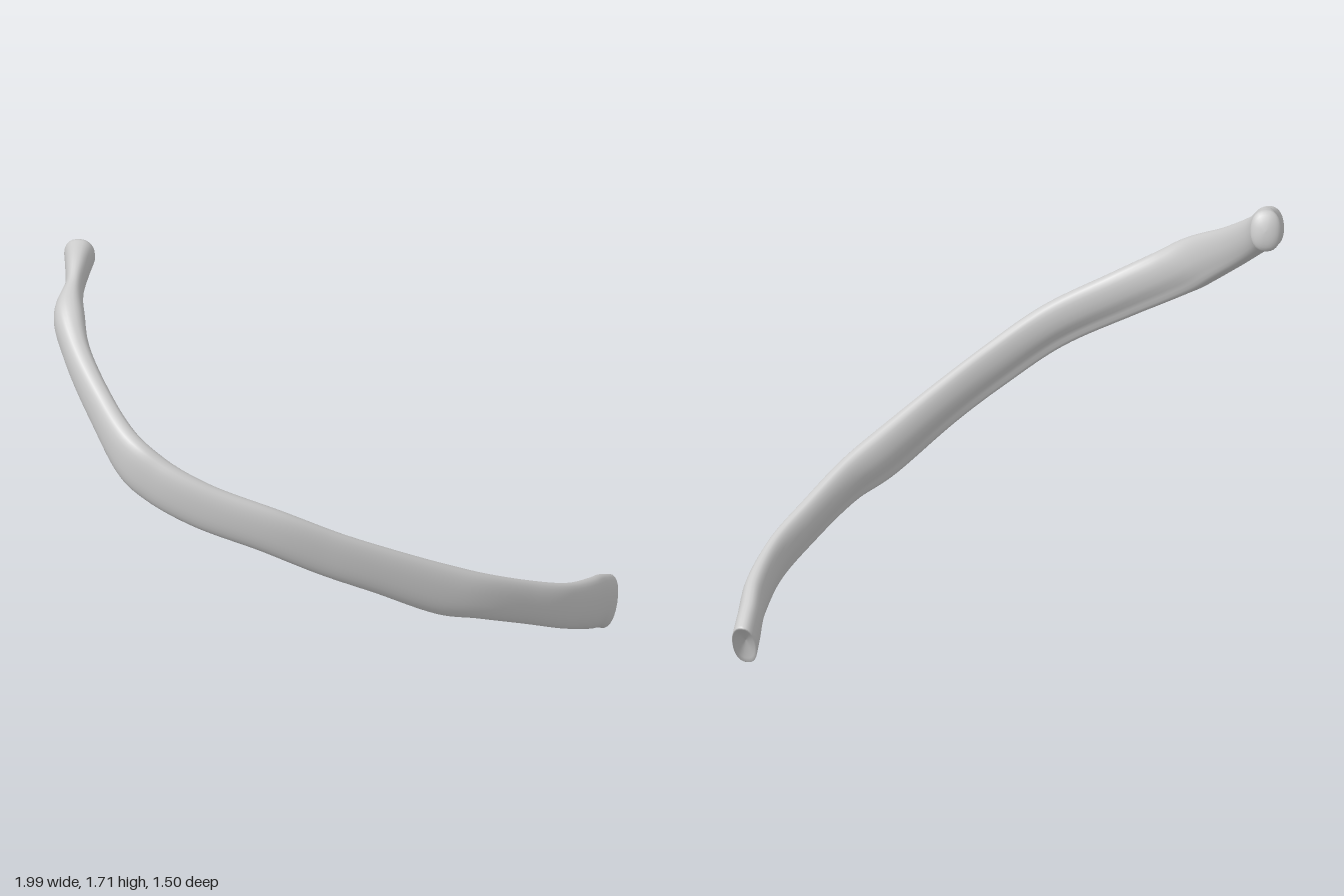
import * as THREE from 'three';

// Stations along the rib: centre x, y, z, half thickness, half height
const STATIONS = [
  [0.955, 0.105, 0.52, 0.046, 0.102],
  [0.89, 0.15, 0.56, 0.045, 0.1],
  [0.78, 0.215, 0.63, 0.043, 0.098],
  [0.6, 0.305, 0.695, 0.036, 0.088],
  [0.4, 0.405, 0.706, 0.038, 0.084],
  [0.2, 0.505, 0.699, 0.042, 0.088],
  [0.05, 0.575, 0.667, 0.046, 0.098],
  [-0.2, 0.725, 0.595, 0.04, 0.091],
  [-0.4, 0.845, 0.52, 0.037, 0.09],
  [-0.6, 0.975, 0.412, 0.04, 0.09],
  [-0.8, 1.09, 0.245, 0.042, 0.093],
  [-0.9, 1.175, 0.11, 0.047, 0.096],
  [-0.937, 1.245, 0.0, 0.05, 0.097],
  [-0.91, 1.36, -0.2, 0.046, 0.08],
  [-0.855, 1.485, -0.4, 0.049, 0.07],
  [-0.79, 1.56, -0.515, 0.058, 0.078],
  [-0.70, 1.6, -0.592, 0.035, 0.076],
  [-0.63, 1.636, -0.655, 0.045, 0.08],
  [-0.575, 1.655, -0.705, 0.058, 0.078],
];
const SIDES = 28, STEPS = 140;

function ribGeometry() {
  const path = new THREE.CatmullRomCurve3(STATIONS.map(s => new THREE.Vector3(s[0], s[1], s[2])));
  const sizes = new THREE.CatmullRomCurve3(STATIONS.map((s, i) => new THREE.Vector3(s[3], s[4], i)));

  // Rings: position along the path, scale, and shift along the tangent
  const rings = [];
  // front end: shallow cupped face with a crisp rim
  rings.push([0, 0.001, 0.025], [0, 0.4, 0.018], [0, 0.8, 0.003], [0, 0.94, -0.004]);
  for (let i = 0; i <= STEPS; i++) rings.push([i / STEPS, 1, 0]);
  // rear end: rounded head
  for (let i = 1; i <= 7; i++) {
    const a = (i / 7) * Math.PI / 2;
    rings.push([1, Math.max(Math.cos(a), 0.001), 0.032 * Math.sin(a)]);
  }

  const positions = [], indices = [];
  for (const [t, scale, shift] of rings) {
    const centre = path.getPoint(t), size = sizes.getPoint(t);
    const tangent = path.getTangent(t);
    // side points to the outer face of the bend, up stays near vertical
    const side = new THREE.Vector3(0, 1, 0).cross(tangent).normalize().negate();
    const up = tangent.clone().cross(side).normalize();
    if (up.y < 0) up.negate();
    side.copy(up).cross(tangent).normalize();
    centre.addScaledVector(tangent, shift);
    const groove = Math.sin(Math.PI * Math.min(1, t / 0.85)) ** 2;
    for (let j = 0; j < SIDES; j++) {
      const a = (j / SIDES) * Math.PI * 2, c = Math.cos(a), s = Math.sin(a);
      let u = Math.sign(c) * Math.abs(c) ** 0.85 * size.x;
      const v = Math.sign(s) * Math.abs(s) ** 0.9 * size.y;
      // shallow groove low on the inner face
      const inner = new THREE.Vector3(centre.x, 0, centre.z).dot(side) > 0 ? -1 : 1;
      if (c * inner > 0) u *= 1 - 0.4 * groove * Math.exp(-(((s + 0.55) / 0.3) ** 2));
      const p = centre.clone().addScaledVector(side, u * scale).addScaledVector(up, v * scale);
      positions.push(p.x, p.y, p.z);
    }
  }
  for (let i = 0; i < rings.length - 1; i++) {
    for (let j = 0; j < SIDES; j++) {
      const a = i * SIDES + j, b = i * SIDES + (j + 1) % SIDES;
      indices.push(a, b, a + SIDES, b, b + SIDES, a + SIDES);
    }
  }

  const geometry = new THREE.BufferGeometry();
  geometry.setAttribute('position', new THREE.Float32BufferAttribute(positions, 3));
  geometry.setIndex(indices);
  // keep the faces pointing outward
  let volume = 0;
  const p = k => new THREE.Vector3().fromArray(positions, indices[k] * 3);
  for (let k = 0; k < indices.length; k += 3) volume += p(k).dot(p(k + 1).cross(p(k + 2)));
  if (volume < 0) geometry.setIndex(indices.reverse());
  geometry.computeVertexNormals();
  return geometry;
}

export function createModel() {
  const group = new THREE.Group();
  group.name = 'ribBone';
  const rib = new THREE.Mesh(ribGeometry(), new THREE.MeshStandardMaterial({ color: 0xcccccc, roughness: 0.8 }));
  rib.name = 'rib';
  group.add(rib);
  return group;
}
